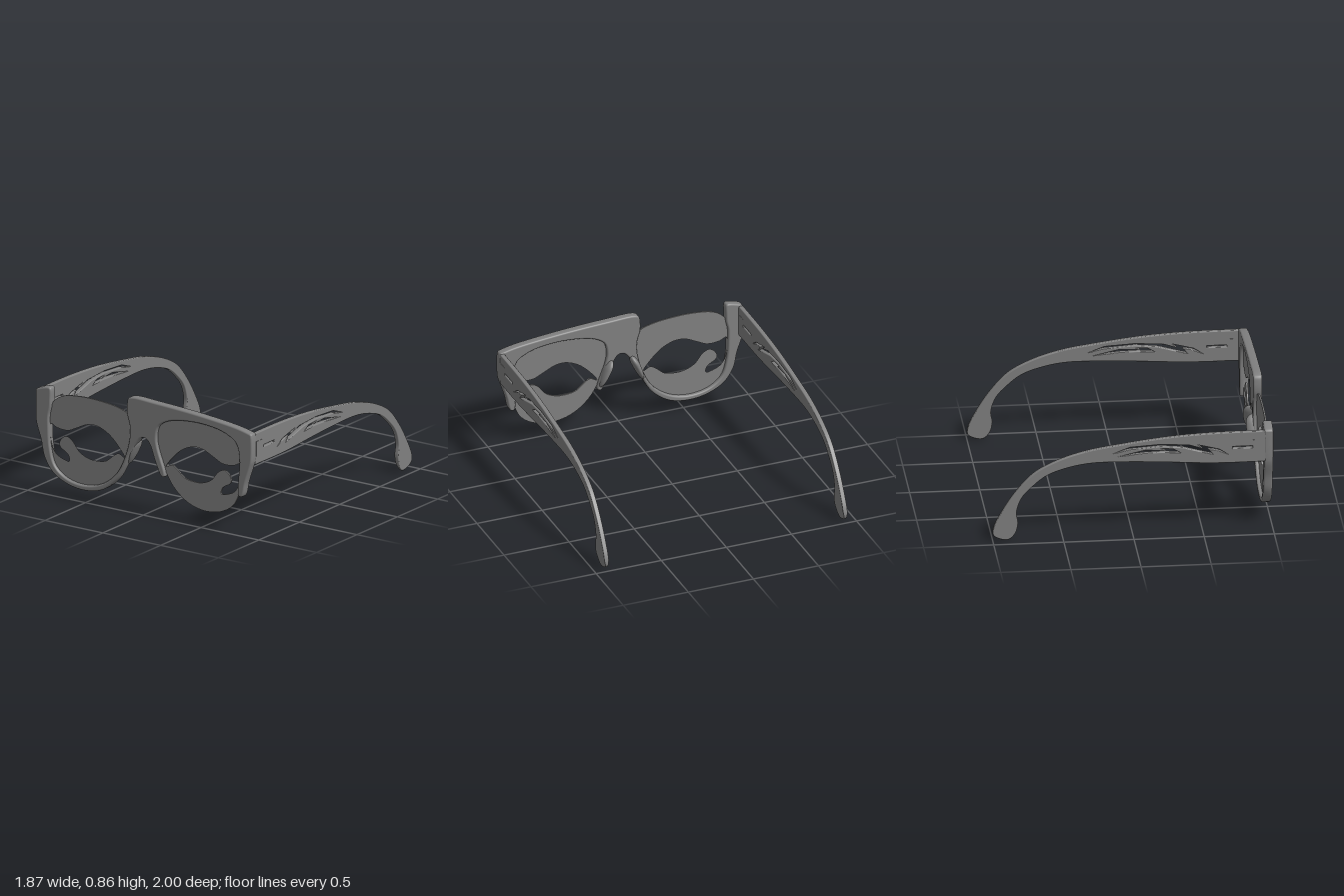
import * as THREE from 'three';
import { toCreasedNormals } from 'three/addons/utils/BufferGeometryUtils.js';

const grey = new THREE.MeshStandardMaterial({ color: 0x808080 });

// Outlines are given in hundredths of a unit
const toVectors = pts => pts.map(([x, y]) => new THREE.Vector2(x, y));

// Closed smooth outline through a few points
function smooth(pts, samples) {
  const v = pts.map(([x, y]) => new THREE.Vector3(x, y, 0));
  const curve = new THREE.CatmullRomCurve3(v, true, 'centripetal');
  return toVectors(curve.getPoints(samples).slice(0, -1).map(p => [p.x, p.y]));
}

// Plate of the given thickness with rounded edges and flat faces, from z = 0 forward
function plate(outline, holes, thickness, bevel) {
  const shape = new THREE.Shape(outline);
  holes.forEach(h => shape.holes.push(new THREE.Path(h)));
  const extruded = new THREE.ExtrudeGeometry(shape, {
    depth: thickness - 2 * bevel,
    bevelEnabled: bevel > 0, bevelThickness: bevel, bevelSize: bevel,
    bevelOffset: -bevel, bevelSegments: 4,
  });
  extruded.translate(0, 0, bevel);
  const geo = toCreasedNormals(extruded, 0.6);
  const { position, normal } = geo.attributes;
  for (let i = 0; bevel > 0 && i < position.count; i++) {
    const z = position.getZ(i);
    if (z < 1e-3) normal.setXYZ(i, 0, 0, -1);
    else if (z > thickness - 1e-3) normal.setXYZ(i, 0, 0, 1);
  }
  return geo.scale(0.01, 0.01, 0.01);
}

function add(parent, name, geo) {
  const mesh = new THREE.Mesh(geo, grey);
  mesh.name = name;
  parent.add(mesh);
  return mesh;
}

// Asymmetric frame: rim under the right lens, bridge, brow bar over the left lens
const FRAME = [
  [-93.5, 75], [-93.4, 76.3], [-92.5, 77.3], [-90, 78.3], [-82, 80], [-80.6, 79], [-80.5, 71],
  [-80.7, 66], [-82.2, 59], [-82.2, 50], [-81.2, 36], [-77, 22.5], [-67, 15], [-52, 12.5],
  [-37, 16], [-24, 26], [-16.5, 40], [-12.3, 55], [-12.3, 65], [-14.5, 73], [-14.6, 80],
  [-13.5, 84.5], [-10, 86], [10, 85.5], [46, 83.5], [80, 80], [90, 77.9], [92.7, 77],
  [93.4, 75.8], [93.4, 57], [92, 52], [88, 40], [86, 31], [84.5, 29], [82, 29.3], [81.3, 32],
  [81.8, 42], [82.8, 57], [80, 68], [70, 74], [55, 76.8], [38, 76.8], [22, 74], [13, 68.5],
  [10.8, 60], [12, 52], [18, 35], [18, 32], [16, 31], [14, 33], [9, 44],
  [5.5, 53], [2, 57], [-2, 57], [-6, 53], [-11.5, 44], [-16.7, 32.5], [-24, 21], [-37, 11.5],
  [-52, 8.7], [-67, 11], [-79, 17.5], [-86, 27.5], [-89, 40], [-93, 52], [-93.5, 57],
];

// Lens outline and its eye-shaped cut-out
const LENS = [
  [84.3, 52], [83.6, 61], [79, 70], [71, 75], [57, 77.2], [41, 77.2], [24, 75.2], [14.5, 71.5],
  [10, 63], [10.5, 55], [15.5, 40], [24, 25.5], [37, 15.5], [52, 12], [67, 14.7], [77, 22], [82.8, 37],
];
const EYE = [
  [81.6, 52.5], [76.5, 50.5], [67, 50], [59, 53.5], [50, 57.5], [42, 58], [32, 54], [23, 46],
  [17.8, 39], [18.3, 38.8], [23, 41], [27, 39], [34, 33.5], [42, 32], [49, 32.5], [57, 36],
  [63, 43], [68, 45.5], [72, 43.5], [74.5, 39], [73, 36], [69.5, 34], [66.8, 32],
  [65.6, 29], [66, 27.2], [69, 27.5], [77, 31], [81, 38],
];

// Temple arm in (z, y), with flame cut-outs and a hinge slot
const TEMPLE = [
  [94.5, 75.5], [94, 76.6], [90, 76.7], [57, 76.4], [25, 74.5], [-7, 70.5], [-34, 66],
  [-55.5, 59], [-71.5, 50], [-85, 35], [-94, 21], [-99, 11], [-99.9, 5], [-97, 2], [-89, 0.2],
  [-84, 5], [-82, 13], [-83, 21], [-79.5, 32], [-71.5, 41], [-61, 49], [-45, 54.5], [-29, 57],
  [-7, 57], [25, 55.5], [57, 53.5], [90, 53.4], [94, 53.5], [94.5, 54.5],
];
const TEMPLE_HOLES = [
  [[67.8, 60], [61.3, 64], [46.3, 68], [49.5, 65], [40, 68], [19.5, 69.3], [-2, 68], [-13.7, 64],
    [-2, 66.5], [19.5, 68], [35.5, 66.5], [48, 63], [57, 60.5], [53.5, 64.5], [60, 63.5]],
  [[34, 62.5], [28.5, 65.5], [20, 66.2], [23, 64.7], [9, 65.3], [-10, 61.5], [9, 63.3], [22, 63.6]],
  [[85.3, 64.4], [71, 64.4], [71, 65.6], [85.3, 65.6]],
];

// Temple turned so its outline lies along z, centred on x = 0, thinned at the tip
function templeGeometry() {
  const geo = plate(smooth(TEMPLE, 174), TEMPLE_HOLES.map(toVectors), 3.5, 0.7);
  geo.rotateY(-Math.PI / 2).translate(0.0175, 0, 0);
  const p = geo.attributes.position;
  for (let i = 0; i < p.count; i++) {
    p.setX(i, p.getX(i) * Math.min(1, 0.3 + p.getY(i) * 8));
  }
  return geo;
}

// Teardrop nose pad following the slanted leg of the bridge
function nosePadGeometry(side) {
  const geo = new THREE.SphereGeometry(1, 28, 20);
  const p = geo.attributes.position;
  for (let i = 0; i < p.count; i++) {
    const y = 0.48 + p.getY(i) * (p.getY(i) < 0 ? 0.14 : 0.06);
    const x = side * (0.1 + (0.49 - y) * 0.42) + p.getX(i) * 0.029;
    p.setXYZ(i, x, y, 0.94 + p.getZ(i) * 0.054);
  }
  geo.computeVertexNormals();
  return geo;
}

export function createModel() {
  const model = new THREE.Group();
  model.name = 'glasses';

  add(model, 'frame', plate(smooth(FRAME, 396), [], 6.5, 1.3)).position.z = 0.935;

  for (const side of [1, -1]) {
    const prefix = side > 0 ? 'left' : 'right';
    const mirror = pts => pts.map(([x, y]) => [x * side, y]);

    // Thin lens set in the middle of the frame
    const lens = plate(smooth(mirror(LENS), 136), [smooth(mirror(EYE), 168)], 1.2, 0);
    add(model, prefix + 'Lens', lens).position.z = 0.962;

    add(model, prefix + 'Temple', templeGeometry()).position.x = side * 0.9165;

    // Hinge tab
    const tab = add(model, prefix + 'Hinge', new THREE.BoxGeometry(0.039, 0.11, 0.085));
    tab.position.set(side * 0.9165, 0.65, 0.8955);

    add(model, prefix + 'NosePad', nosePadGeometry(side));
  }
  return model;
}
